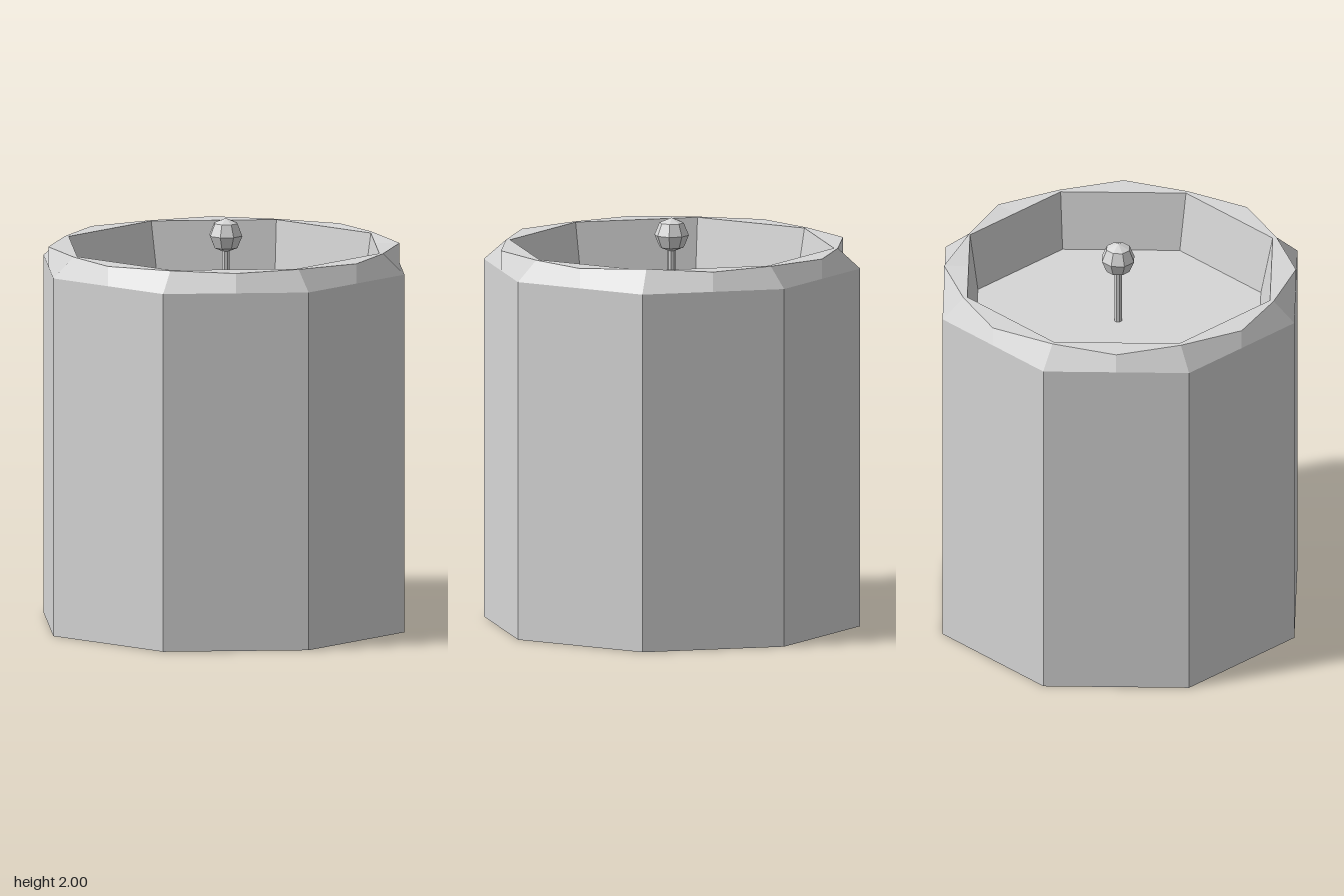
import * as THREE from 'three';

const N = 16; // even points are octagon corners, odd points are edge middles
const MID = Math.cos(Math.PI / 8);

// A ring of 16 points: corner radius, height, edge-middle radius, x offset
function ring(r, y, rMid = r * MID, cx = 0) {
  return Array.from({ length: N }, (_, i) => {
    const t = (i / N) * Math.PI * 2;
    const rad = i % 2 ? rMid : r;
    return new THREE.Vector3(cx + Math.sin(t) * rad, y, Math.cos(t) * rad);
  });
}

// Joins rings with quads, each quad having one flat normal
function loft(rings) {
  const pos = [], nor = [];
  for (let k = 0; k < rings.length - 1; k++) {
    const a = rings[k], b = rings[k + 1];
    for (let i = 0; i < N; i++) {
      const j = (i + 1) % N;
      const n = b[j].clone().sub(a[i]).cross(b[i].clone().sub(a[j])).normalize();
      const tris = i % 2
        ? [a[i], a[j], b[j], a[i], b[j], b[i]]
        : [a[i], a[j], b[i], a[j], b[j], b[i]];
      for (const p of tris) {
        pos.push(p.x, p.y, p.z);
        nor.push(n.x, n.y, n.z);
      }
    }
  }
  const g = new THREE.BufferGeometry();
  g.setAttribute('position', new THREE.Float32BufferAttribute(pos, 3));
  g.setAttribute('normal', new THREE.Float32BufferAttribute(nor, 3));
  return g;
}

export function createModel() {
  const group = new THREE.Group();
  const grey = new THREE.MeshStandardMaterial({ color: 0xd6d6d6 });
  grey.name = 'lightGrey';
  grey.flatShading = false;

  const add = (name, geometry, x = 0, y = 0) => {
    const mesh = new THREE.Mesh(geometry, grey);
    mesh.name = name;
    mesh.position.set(x, y, 0);
    group.add(mesh);
  };

  // Top edge with cut-back corners; one corner sits slightly higher and further in
  const topEdge = ring(0.82, 1.868, 0.93 * MID);
  topEdge[4].set(0.802, 1.876, 0);
  const innerEdge = ring(0.8, 1.868);

  // Eight-sided body: base, walls and corner chamfers
  add('body', loft([ring(0, 0), ring(0.93, 0), ring(0.93, 1.77), topEdge]));

  // Flat rim around the opening
  add('rim', loft([topEdge, innerEdge]));

  // Shallow recess with slightly tapered walls and a floor
  const floorY = 1.57;
  add('recess', loft([
    innerEdge,
    ring(0.748, floorY, 0.748 * MID, 0.01),
    ring(0, floorY, 0, 0.01),
  ]));

  // Thin stem with a faceted knob
  const stem = new THREE.CylinderGeometry(0.02, 0.02, 0.3, 8).toNonIndexed();
  stem.computeVertexNormals();
  add('stem', stem, 0.01, floorY + 0.15);

  const knob = new THREE.SphereGeometry(0.085, 8, 4).toNonIndexed();
  knob.computeVertexNormals();
  add('knob', knob, 0.01, 1.915);

  return group;
}
